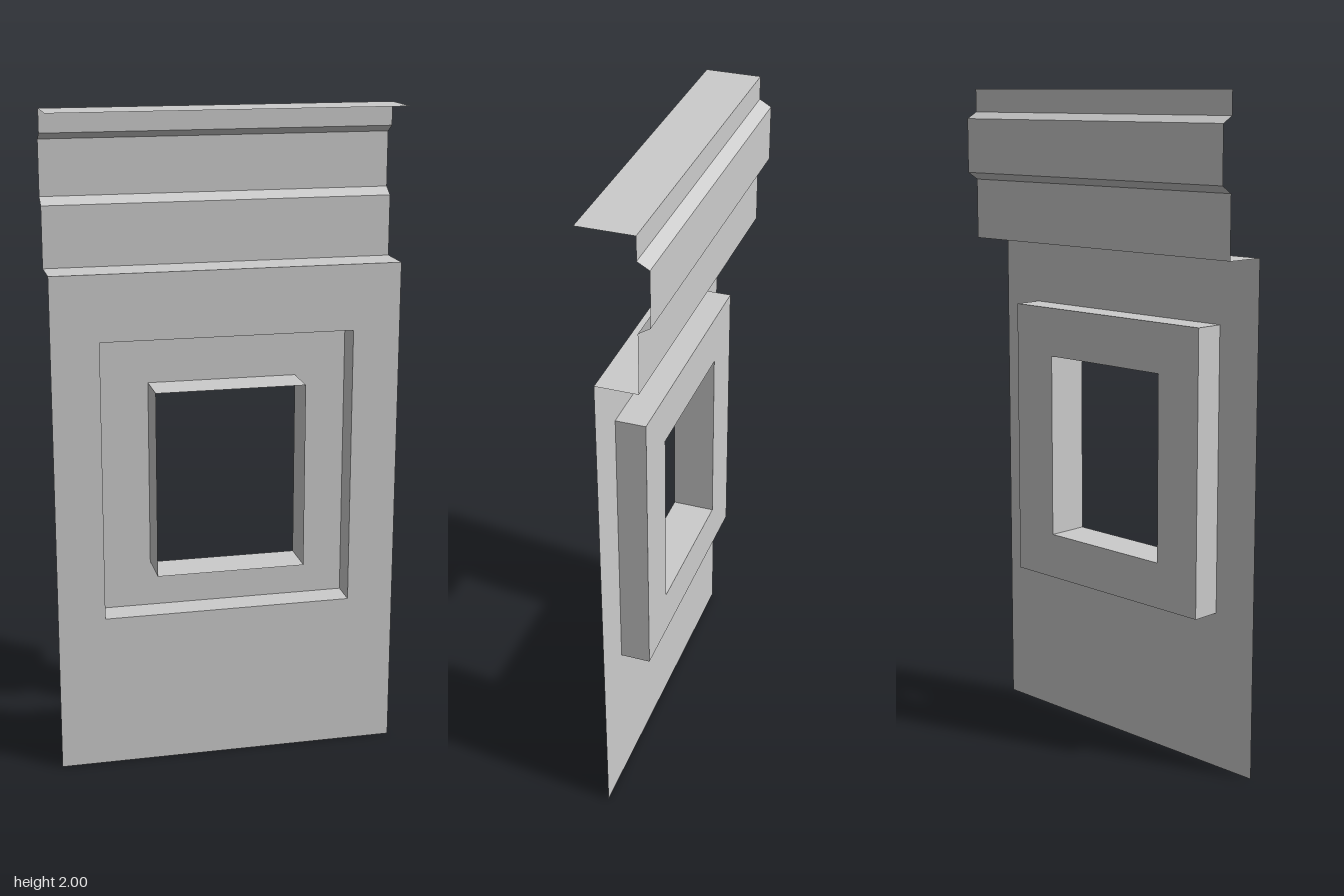
import * as THREE from 'three';

const material = new THREE.MeshStandardMaterial({ color: 0xcccccc, side: THREE.DoubleSide, flatShading: true });

const halfWidth = 0.527;
const wallZ = 0.06, recessZ = -0.03, frameZ = 0.1;
const recess = { x: 0.383, bottom: 0.48, top: 1.34 };
const opening = { x: 0.227, bottom: 0.62, top: 1.19 };
const wall = { x: halfWidth, bottom: 0, top: 1.54 };

function addMesh(group, name, geometry) {
  const mesh = new THREE.Mesh(geometry, material);
  mesh.name = name;
  group.add(mesh);
  return mesh;
}

// Corners of a rectangle, counter-clockwise from the front
function corners({ x, bottom, top }) {
  return [[-x, bottom], [x, bottom], [x, top], [-x, top]];
}

// Flat sheet with a rectangular hole
function sheet(outer, hole, z) {
  const toVectors = (r) => corners(r).map(([x, y]) => new THREE.Vector2(x, y));
  const shape = new THREE.Shape(toVectors(outer));
  shape.holes.push(new THREE.Path(toVectors(hole).reverse()));
  return new THREE.ShapeGeometry(shape).translate(0, 0, z);
}

// Faceted strip of quads between two matching lines of points
function strip(a, b) {
  const positions = [];
  for (let i = 0; i < a.length - 1; i++) {
    positions.push(...a[i], ...b[i], ...b[i + 1], ...a[i], ...b[i + 1], ...a[i + 1]);
  }
  const geometry = new THREE.BufferGeometry();
  geometry.setAttribute('position', new THREE.Float32BufferAttribute(positions, 3));
  geometry.computeVertexNormals();
  return geometry;
}

// Open rectangular sleeve running between two depths
function sleeve(rect, z0, z1) {
  const loop = corners(rect);
  loop.push(loop[0]);
  return strip(loop.map(([x, y]) => [x, y, z0]), loop.map(([x, y]) => [x, y, z1]));
}

export function createModel() {
  const group = new THREE.Group();
  group.name = 'windowWallPanel';

  // Wall sheet and the window niche pressed into it
  addMesh(group, 'wall', sheet(wall, recess, wallZ));
  addMesh(group, 'recessSides', sleeve(recess, wallZ, recessZ));
  addMesh(group, 'recessBack', sheet(recess, opening, recessZ));

  // Sleeve around the opening, standing proud of the wall
  addMesh(group, 'windowSleeve', sleeve(opening, frameZ, recessZ));

  // Stepped upper band: [y, z] profile from wall top to the eave lip
  const profile = [
    [1.54, wallZ], [1.54, -0.065], [1.723, -0.065], [1.745, -0.1],
    [1.91, -0.1], [1.93, -0.065], [2, -0.065], [2, 0.1],
  ];
  const line = (x) => profile.map(([y, z]) => [x, y, z]);
  addMesh(group, 'corniceAndEave', strip(line(-halfWidth), line(halfWidth)));

  return group;
}
